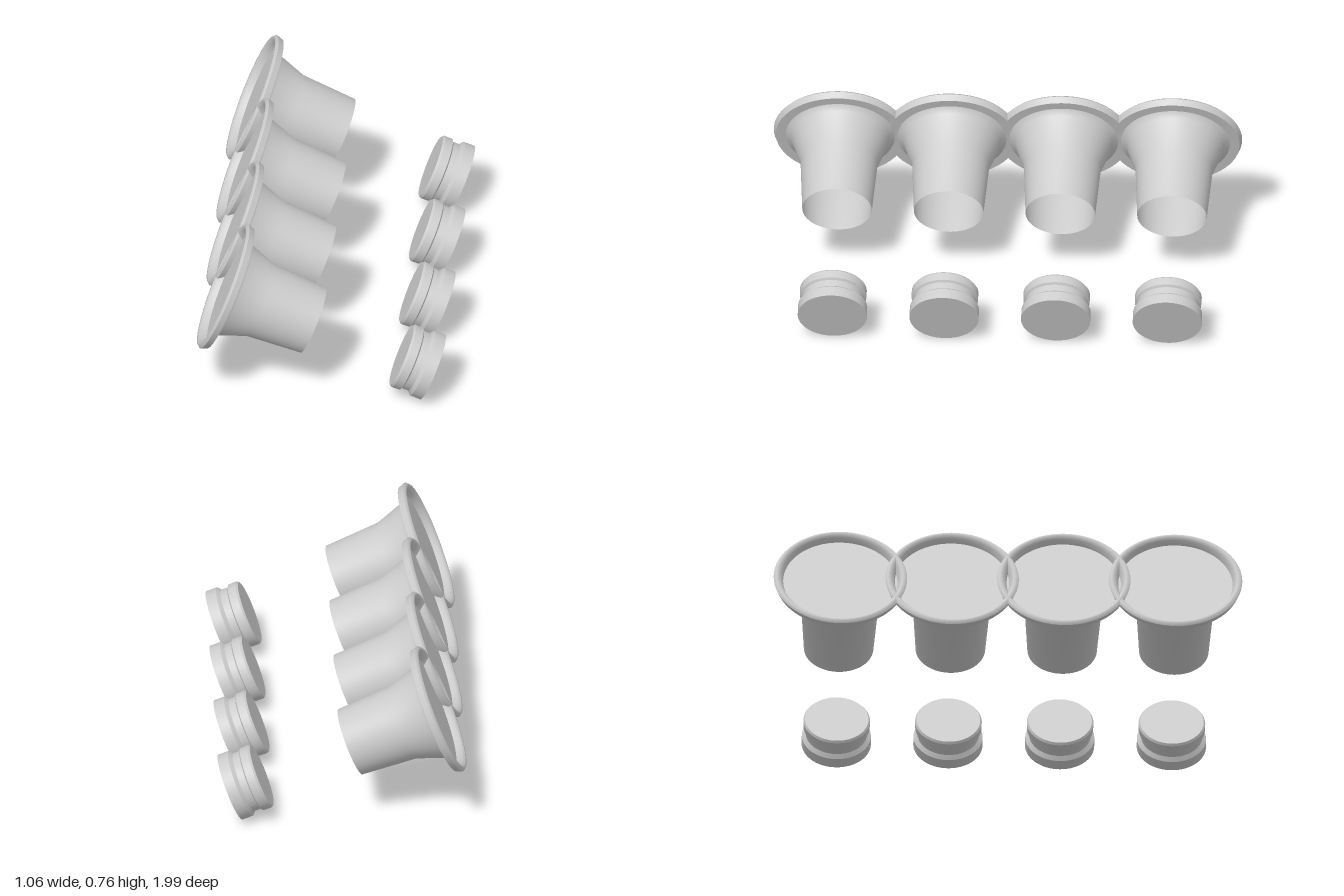
import * as THREE from 'three';

const SEGMENTS = 64;
const TILT = THREE.MathUtils.degToRad(-112); // turns the lathe axis forward (+x) and 22 degrees down
const SPACING = 0.475;

export function createModel() {
  const model = new THREE.Group();
  const lightGrey = new THREE.MeshStandardMaterial({ color: 0xcccccc, side: THREE.DoubleSide });
  lightGrey.name = 'lightGrey';

  // Each run of [radius, height] points is one smooth band; edges between runs stay sharp
  const turned = (name, runs) => {
    const part = new THREE.Group();
    part.name = name;
    for (const [bandName, points] of Object.entries(runs)) {
      const profile = points.map(([r, h]) => new THREE.Vector2(r, h));
      const band = new THREE.Mesh(new THREE.LatheGeometry(profile, SEGMENTS), lightGrey);
      band.name = bandName;
      part.add(band);
    }
    part.rotation.z = TILT;
    return part;
  };

  // Flared trumpet: open at the narrow end, closed by a recessed disc at the wide end
  const trumpet = turned('trumpet', {
    recessedDisc: [[0, 0.034], [0.243, 0.034]],
    rim: [[0.243, 0.034], [0.252, 0.012], [0.264, 0.001], [0.274, 0], [0.284, 0.011]],
    rimEdge: [[0.284, 0.011], [0.274, 0.038]],
    flangeFront: [[0.274, 0.038], [0.232, 0.037]],
    flaredBody: [[0.232, 0.037], [0.207, 0.056], [0.164, 0.179], [0.148, 0.421]],
  });
  trumpet.position.set(-0.4285, 0.505, 0);

  // Grooved round plug
  const plug = turned('plug', {
    backFace: [[0, -0.143], [0.135, -0.143]],
    backBevel: [[0.135, -0.143], [0.142, -0.134]],
    backBand: [[0.142, -0.134], [0.141, -0.099]],
    grooveBack: [[0.141, -0.099], [0.131, -0.093]],
    groove: [[0.131, -0.093], [0.131, -0.062]],
    grooveFront: [[0.131, -0.062], [0.147, -0.047]],
    frontBand: [[0.147, -0.047], [0.1475, 0]],
    frontFace: [[0.1475, 0], [0, 0]],
  });
  plug.position.set(0.472, 0.137, 0);

  // Row of four pairs
  for (let i = 0; i < 4; i++) {
    for (const part of [trumpet, plug]) {
      const copy = part.clone();
      copy.name = part.name + (i + 1);
      copy.position.z = (i - 1.5) * SPACING;
      model.add(copy);
    }
  }
  return model;
}
